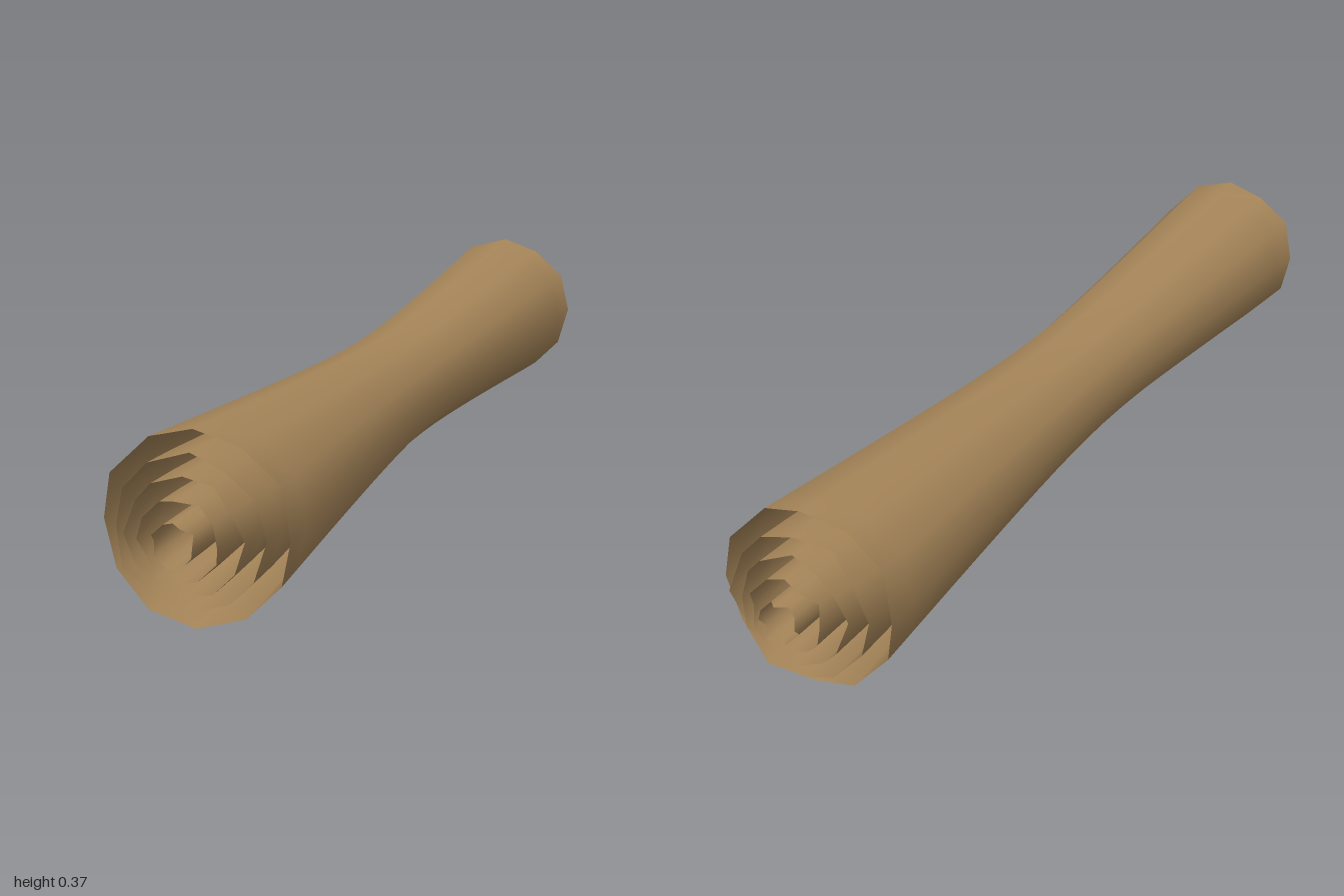
import * as THREE from 'three';
import { mergeVertices } from 'three/addons/utils/BufferGeometryUtils.js';

const SIDES = 12;
const material = new THREE.MeshStandardMaterial({ color: 0xa8875a, side: THREE.DoubleSide });

// One rolled layer: an open tube, pinched in the middle, with slightly uneven rims
function rolledLayer(radius, halfLength, seed) {
  const geo = new THREE.CylinderGeometry(1, 1, 2, SIDES, 24, true);
  const pos = geo.attributes.position;
  for (let i = 0; i < pos.count; i++) {
    const k = (i % (SIDES + 1)) % SIDES;
    const t = pos.getY(i);
    const uneven = 0.012 * Math.sin(k * 2.4 + seed * 1.7 + Math.sign(t));
    const y = t * (halfLength + uneven * t * t);
    const pinch = 0.7 + 0.39 * (Math.hypot(Math.min(Math.abs(y), 1.03), 0.3) - 0.3);
    const r = radius * pinch;
    const a = (k / SIDES) * Math.PI * 2;
    pos.setXYZ(i, Math.sin(a) * r, y, Math.cos(a) * r);
  }
  geo.deleteAttribute('uv');
  geo.deleteAttribute('normal');
  const smooth = mergeVertices(geo);
  smooth.computeVertexNormals();
  return smooth;
}

export function createModel() {
  const group = new THREE.Group();
  const roll = new THREE.Group();
  roll.name = 'rolledScroll';

  // Nested layers, each inner one sticking out a little further: [end radius, half length]
  const layers = [[0.185, 1.032], [0.146, 1.062], [0.112, 1.084], [0.077, 1.106], [0.04, 1.128]];
  layers.forEach(([radius, halfLength], i) => {
    const layer = new THREE.Mesh(rolledLayer(radius, halfLength, i), material);
    layer.name = i === 0 ? 'outerSheet' : 'innerLayer' + i;
    layer.rotation.x = Math.PI / 2;
    roll.add(layer);
  });

  // Lying diagonally on the ground
  roll.rotation.y = -Math.PI / 6;
  roll.position.y = 0.186;
  group.add(roll);
  return group;
}
